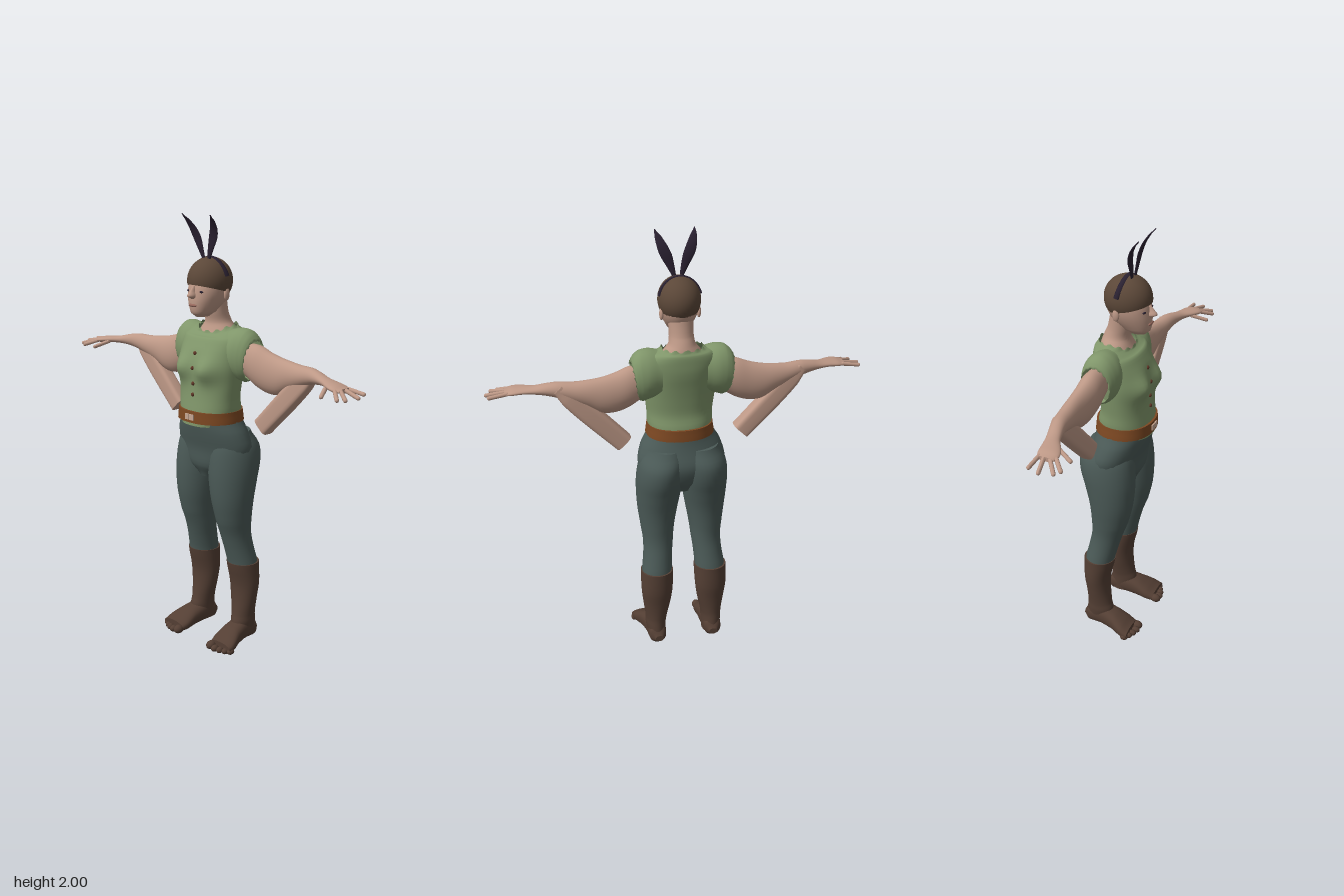
import * as THREE from 'three';

const mat = (name, color, side = THREE.FrontSide) => {
  const m = new THREE.MeshStandardMaterial({ color, side });
  m.name = name;
  return m;
};
const M = {
  skin: mat('skin', 0xbd9886),
  shirt: mat('shirtGreen', 0x80966a, THREE.DoubleSide),
  trousers: mat('trouserSlate', 0x4b5a57),
  boots: mat('bootBrown', 0x543f34),
  cap: mat('capBrown', 0x5b4738, THREE.DoubleSide),
  ears: mat('earDark', 0x2a2131),
  belt: mat('beltTan', 0x7d4822),
  buckle: mat('bucklePale', 0xc6a692),
  button: mat('buttonBrown', 0x5e3526),
  lips: mat('lipRose', 0x96685c),
};

// Smooth tube along an axis. Each ring is [t, uMin, uMax, vMin, vMax], t ascending;
// (u, v) is (z, x) for axis y, (y, z) for axis x and (x, y) for axis z.
function loft(axis, rings, { n = 28, sub = 4, p = 2, capped = true, warp } = {}) {
  const at = (i, k) => rings[Math.max(0, Math.min(rings.length - 1, i))][k];
  const rows = (rings.length - 1) * sub;
  const pos = [], idx = [];
  const order = { x: [0, 1, 2], y: [2, 0, 1], z: [1, 2, 0] }[axis];
  for (let r = 0; r <= rows; r++) {
    const i = Math.min(Math.floor(r / sub), rings.length - 2), f = r / sub - i;
    const [t, u0, u1, v0, v1] = [0, 1, 2, 3, 4].map((k) => {
      const a = at(i - 1, k), b = at(i, k), c = at(i + 1, k), d = at(i + 2, k);
      return k === 0 ? b + (c - b) * f
        : b + 0.5 * f * (c - a + f * (2 * a - 5 * b + 4 * c - d + f * (3 * (b - c) + d - a)));
    });
    for (let j = 0; j < n; j++) {
      const a = (j / n) * Math.PI * 2, c = Math.cos(a), s = Math.sin(a);
      const pw = (x) => Math.sign(x) * Math.abs(x) ** (2 / p);
      const q = [t, (u0 + u1) / 2 + (u1 - u0) / 2 * pw(c), (v0 + v1) / 2 + (v1 - v0) / 2 * pw(s)];
      const v = new THREE.Vector3(q[order[0]], q[order[1]], q[order[2]]);
      if (warp) warp(v, r / rows, j);
      pos.push(v.x, v.y, v.z);
    }
  }
  for (let r = 0; r < rows; r++) for (let j = 0; j < n; j++) {
    const a = r * n + j, b = r * n + (j + 1) % n;
    idx.push(a, b, b + n, a, b + n, a + n);
  }
  if (capped) for (const r of [0, rows]) {
    const start = pos.length / 3, mid = [0, 0, 0];
    for (let j = 0; j < n; j++) for (let k = 0; k < 3; k++) {
      const v = pos[(r * n + j) * 3 + k];
      mid[k] += v / n;
      pos.push(v);
    }
    pos.push(...mid);
    for (let j = 0; j < n; j++) {
      const a = start + j, b = start + (j + 1) % n;
      r ? idx.push(a, b, start + n) : idx.push(b, a, start + n);
    }
  }
  const g = new THREE.BufferGeometry();
  g.setAttribute('position', new THREE.Float32BufferAttribute(pos, 3));
  g.setIndex(idx);
  g.computeVertexNormals();
  return g;
}

// Symmetric rings about x = 0, given as [y, zMin, zMax, halfWidth]
const body = (rings, opts) => loft('y', rings.map(([y, a, b, w]) => [y, a, b, -w, w]), opts);

const blob = (x, y, z, rx, ry, rz) =>
  new THREE.SphereGeometry(1, 16, 12).scale(rx, ry, rz).translate(x, y, z);

function limb(a, b, r) {
  const A = new THREE.Vector3(...a), d = new THREE.Vector3(...b).sub(A);
  const g = new THREE.CapsuleGeometry(r, d.length(), 5, 10).translate(0, d.length() / 2, 0);
  g.applyQuaternion(new THREE.Quaternion().setFromUnitVectors(new THREE.Vector3(0, 1, 0), d.clone().normalize()));
  return g.translate(A.x, A.y, A.z);
}

function mirrored(geo) {
  const g = geo.clone().scale(-1, 1, 1), ix = g.index;
  for (let i = 0; i < ix.count; i += 3) {
    const a = ix.getX(i);
    ix.setX(i, ix.getX(i + 1));
    ix.setX(i + 1, a);
  }
  g.computeVertexNormals();
  return g;
}

export function createModel() {
  const root = new THREE.Group();
  root.name = 'figure';
  const add = (name, geo, material) => {
    const m = new THREE.Mesh(geo, material);
    m.name = name;
    root.add(m);
  };
  const pair = (name, geo, material) => {
    add(name + 'Left', geo, material);
    add(name + 'Right', mirrored(geo), material);
  };

  // Trousers
  add('trouserSeat', body([[0.82, -0.08, 0.07, 0.06], [0.88, -0.12, 0.1, 0.16], [0.96, -0.14, 0.108, 0.203],
    [1.04, -0.118, 0.128, 0.186], [1.1, -0.105, 0.138, 0.153], [1.13, -0.1, 0.13, 0.14]]), M.trousers);
  pair('trouserLeg', loft('y', [[0.39, -0.13, 0.01, 0.058, 0.202], [0.48, -0.112, 0.03, 0.053, 0.19],
    [0.55, -0.1, 0.05, 0.045, 0.187], [0.62, -0.1, 0.075, 0.037, 0.195], [0.72, -0.11, 0.097, 0.02, 0.207],
    [0.82, -0.135, 0.105, 0.004, 0.213], [0.9, -0.158, 0.103, -0.005, 0.212],
    [0.97, -0.158, 0.095, -0.01, 0.2], [1.04, -0.12, 0.08, -0.02, 0.17]]), M.trousers);

  // Boots with toes
  pair('bootShaft', loft('y', [[0.03, -0.13, 0, 0.092, 0.178], [0.1, -0.123, 0.01, 0.09, 0.187],
    [0.14, -0.12, 0, 0.085, 0.188], [0.22, -0.125, -0.01, 0.068, 0.198],
    [0.3, -0.135, -0.008, 0.057, 0.207], [0.405, -0.136, 0.015, 0.053, 0.207]]), M.boots);
  pair('bootFoot', loft('z', [[-0.137, 0.115, 0.155, 0.03, 0.06], [-0.11, 0.097, 0.178, 0.01, 0.1],
    [-0.04, 0.09, 0.187, 0.012, 0.115], [0.03, 0.09, 0.203, 0.008, 0.1],
    [0.08, 0.088, 0.222, 0.002, 0.075], [0.12, 0.095, 0.226, 0.002, 0.052]], { p: 2.4 }), M.boots);
  [[0.113, 0.13, 0.021], [0.143, 0.136, 0.016], [0.17, 0.13, 0.015], [0.194, 0.12, 0.014], [0.216, 0.105, 0.015]]
    .forEach(([x, z, r], i) => pair('toe' + (i + 1), blob(x, r + 0.004, z, r, r, r * 1.3), M.boots));

  // Shirt with bust, ragged neckline and cap sleeves
  add('shirt', body([[1.075, -0.08, 0.147, 0.12], [1.13, -0.098, 0.143, 0.146], [1.2, -0.085, 0.135, 0.15],
    [1.27, -0.09, 0.13, 0.158], [1.34, -0.1, 0.13, 0.165], [1.41, -0.112, 0.115, 0.165],
    [1.46, -0.114, 0.09, 0.165], [1.495, -0.112, 0.064, 0.14], [1.512, -0.102, 0.05, 0.092]],
  { n: 48, p: 2.2, capped: false, warp: (v, t, j) => {
    if (v.z > 0) v.z += 0.034 * Math.exp(-((Math.abs(v.x) - 0.075) ** 2) / 0.0025 - ((v.y - 1.33) ** 2) / 0.003);
    if (v.y > 1.47) v.y -= 0.25 * Math.max(0, v.z) * (v.y - 1.47) / 0.02;
    if (t === 1 && j % 4 < 2) v.y += 0.01;
  } }), M.shirt);
  pair('sleeve', loft('x', [[0.1, 1.3, 1.505, -0.1, 0.06], [0.15, 1.285, 1.515, -0.108, 0.065],
    [0.19, 1.277, 1.511, -0.106, 0.055], [0.215, 1.282, 1.492, -0.101, 0.045], [0.234, 1.29, 1.465, -0.097, 0.035]],
  { n: 32, capped: false, warp: (v, t, j) => {
    if (v.x > 0.16) v.x -= Math.max(0, 1.47 - v.y) * 0.15 * (v.x - 0.16) / 0.07;
    if (t === 1 && j % 2) v.x -= 0.016;
  } }), M.shirt);
  [[1.4, 0.118], [1.335, 0.134], [1.265, 0.131], [1.215, 0.134]].forEach(([y, z], i) =>
    add('button' + (i + 1), blob(0, y, z, 0.009, 0.009, 0.008), M.button));

  // Belt and buckle
  add('belt', body([[1.09, -0.112, 0.154, 0.157], [1.142, -0.108, 0.152, 0.15]], { n: 40, p: 2.2 }), M.belt);
  pair('bucklePlate', new THREE.BoxGeometry(0.024, 0.026, 0.008).translate(0.014, 1.116, 0.154), M.buckle);

  // Arms, hands and the folded flaps below the elbows
  pair('arm', loft('x', [[0.17, 1.3, 1.45, -0.085, 0.01], [0.24, 1.262, 1.447, -0.095, 0.013],
    [0.3, 1.243, 1.425, -0.095, 0.008], [0.36, 1.245, 1.41, -0.092, 0.002], [0.42, 1.275, 1.402, -0.085, 0],
    [0.48, 1.3, 1.397, -0.075, 0.003], [0.55, 1.325, 1.398, -0.06, 0.01], [0.6, 1.337, 1.39, -0.045, 0.02],
    [0.65, 1.342, 1.378, -0.03, 0.035], [0.7, 1.342, 1.373, -0.02, 0.065],
    [0.74, 1.338, 1.368, -0.015, 0.08], [0.775, 1.338, 1.358, -0.005, 0.072]]), M.skin);
  pair('armFlap', loft('y', [[0, -0.035, 0.035, -0.043, 0.043], [0.2, -0.035, 0.035, -0.045, 0.046],
    [0.33, -0.03, 0.032, -0.04, 0.043], [0.4, -0.02, 0.025, -0.02, 0.03]], { p: 4 })
    .rotateZ(-0.768).translate(0.27, 1.088, -0.04), M.skin);
  [[0.765, 0.003, 0.842, 0, 1.34], [0.77, 0.027, 0.852, 0.047, 1.334], [0.765, 0.05, 0.83, 0.1, 1.33],
    [0.75, 0.068, 0.8, 0.115, 1.328], [0.69, 0.05, 0.72, 0.115, 1.328]].forEach(([x0, z0, x1, z1, y], i) =>
    pair('finger' + (i + 1), limb([x0, 1.35, z0], [x1, y, z1], 0.009), M.skin));

  // Neck, head and face
  add('neck', body([[1.4, -0.09, 0.085, 0.12], [1.47, -0.1, 0.058, 0.1], [1.5, -0.096, 0.042, 0.083],
    [1.53, -0.086, 0.033, 0.06], [1.57, -0.068, 0.04, 0.054], [1.64, -0.055, 0.05, 0.056]]), M.skin);
  add('head', body([[1.56, 0.035, 0.107, 0.024], [1.578, 0.005, 0.127, 0.046], [1.62, -0.045, 0.133, 0.068],
    [1.66, -0.066, 0.13, 0.081], [1.7, -0.07, 0.122, 0.083], [1.75, -0.055, 0.1, 0.075]], { p: 2.15 }), M.skin);
  add('nose', body([[1.642, 0.1, 0.138, 0.012], [1.655, 0.1, 0.16, 0.017], [1.675, 0.1, 0.146, 0.01],
    [1.7, 0.1, 0.128, 0.007]], { n: 14 }), M.skin);
  add('mouth', blob(0, 1.613, 0.131, 0.025, 0.007, 0.007), M.lips);
  pair('eye', blob(0.037, 1.673, 0.116, 0.013, 0.005, 0.006), M.ears);
  pair('humanEar', blob(0.083, 1.658, 0.005, 0.009, 0.028, 0.016), M.skin);

  // Cap and headband
  add('cap', new THREE.SphereGeometry(1, 36, 24, 0, Math.PI * 2, 0, Math.PI * 0.62)
    .rotateX(-0.27).scale(0.094, 0.103, 0.107).translate(0, 1.713, 0.025), M.cap);
  add('headband', new THREE.TorusGeometry(0.1, 0.006, 8, 32, Math.PI * 0.84).rotateZ(Math.PI * 0.08)
    .scale(0.95, 1.03, 2).rotateX(0.2).translate(0, 1.712, 0.005), M.ears);

  // Tall curved ears
  pair('tallEar', loft('y', [[1.8, 0.043, 0.053, 0.007, 0.023], [1.85, 0.047, 0.057, 0.014, 0.048],
    [1.9, 0.051, 0.061, 0.024, 0.076], [1.94, 0.062, 0.072, 0.042, 0.088],
    [1.975, 0.083, 0.092, 0.064, 0.092], [2, 0.106, 0.111, 0.085, 0.089]], { n: 16 }), M.ears);
  return root;
}
